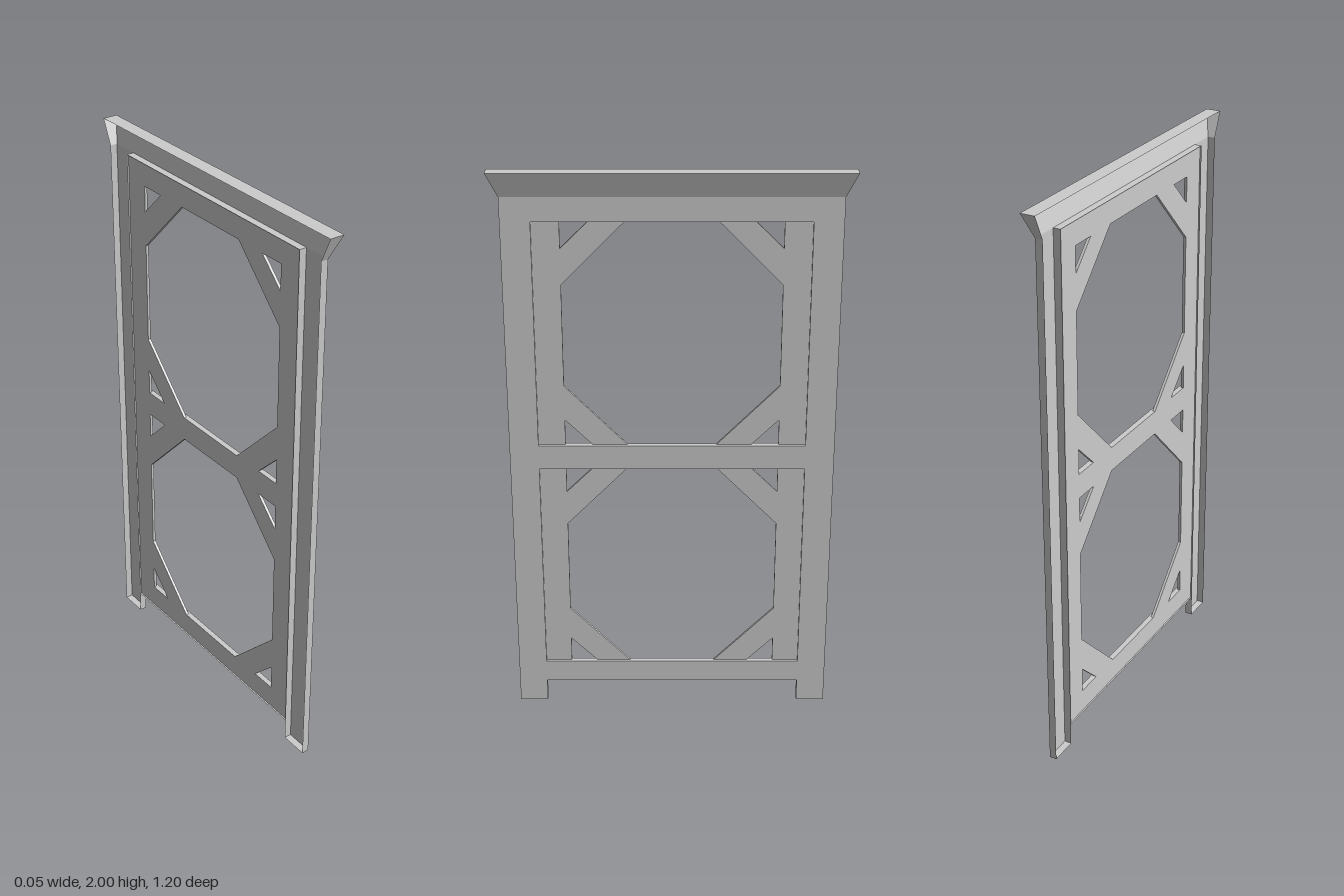
import * as THREE from 'three';

const mat = new THREE.MeshStandardMaterial({ color: 0xcccccc, flatShading: true, side: THREE.DoubleSide });
const BACK = -0.026, FRONT = 0, LIP = 0.026;     // depth planes along x
const OUT = 0.56, IN = 0.46, OPEN = 0.367;       // half widths along z
const BASE = 0.082, HEAD = 1.915;                // panel bottom and top

function add(group, name, geometry) {
  const mesh = new THREE.Mesh(geometry, mat);
  mesh.name = name;
  group.add(mesh);
  return mesh;
}

// Flat faces from quads, four corners each, counter-clockwise seen from outside
function quads(list) {
  const pos = [];
  for (const [a, b, c, d] of list) pos.push(...a, ...b, ...c, ...a, ...c, ...d);
  const g = new THREE.BufferGeometry();
  g.setAttribute('position', new THREE.Float32BufferAttribute(pos, 3));
  g.computeVertexNormals();
  return g;
}

// Thin wall following a closed (z, y) outline from the back plane to the front plane
function wall(outline) {
  return quads(outline.map(([z, y], i) => {
    const [z2, y2] = outline[(i + 1) % outline.length];
    return [[BACK, y, z], [FRONT, y, z], [FRONT, y2, z2], [BACK, y2, z2]];
  }));
}

const rect = (z0, z1, y0, y1) => [[z0, y0], [z1, y0], [z1, y1], [z0, y1]];

// Slab in the z-y plane between two x planes
function slab(outline, holes, x0, x1) {
  const toPoints = (pts) => pts.map(([z, y]) => new THREE.Vector2(-z, y));
  const shape = new THREE.Shape(toPoints(outline));
  shape.holes = holes.map((h) => new THREE.Path(toPoints(h)));
  const g = new THREE.ExtrudeGeometry(shape, { depth: x1 - x0, bevelEnabled: false });
  return g.rotateY(Math.PI / 2).translate(x0, 0, 0);
}

export function createModel() {
  const model = new THREE.Group();
  model.name = 'doorFrame';

  // Posts: open-backed channels on both sides
  for (const s of [1, -1]) {
    const post = new THREE.Group();
    post.name = s > 0 ? 'leftPost' : 'rightPost';
    const z0 = Math.min(s * IN, s * OUT), z1 = Math.max(s * IN, s * OUT);
    add(post, 'postFace', quads([
      [[FRONT, 0, z1], [FRONT, 0, z0], [FRONT, HEAD, z0], [FRONT, HEAD, z1]],
    ]));
    const sides = [s * IN, s * OUT].map((z) =>
      [[BACK, 0, z], [FRONT, 0, z], [FRONT, HEAD, z], [BACK, HEAD, z]]);
    sides.push([[BACK, 0, z0], [FRONT, 0, z0], [FRONT, 0, z1], [BACK, 0, z1]]);
    add(post, 'postSides', quads(sides));
    model.add(post);
  }

  // Flared cornice, open at the back
  const W = 0.598;
  const cornice = [
    [[FRONT, HEAD, OUT], [FRONT, HEAD, -OUT], [LIP, 2, -W], [LIP, 2, W]],
    [[BACK, 2, W], [LIP, 2, W], [LIP, 2, -W], [BACK, 2, -W]],
  ];
  for (const s of [1, -1])
    cornice.push([[BACK, HEAD, s * OUT], [FRONT, HEAD, s * OUT], [LIP, 2, s * W], [BACK, 2, s * W]]);
  add(model, 'cornice', quads(cornice));

  // Rim around the panel
  add(model, 'panelRim', wall(rect(-IN, IN, BASE, HEAD)));

  // Recessed panel: octagonal openings with triangular gaps behind corner braces
  const holes = [];
  for (const [y0, y1] of [[0.165, 0.947], [1.035, 1.832]]) {
    const c = 0.153, rise = 0.218, leg = 0.093;
    holes.push([
      [-c, y0], [c, y0], [OPEN, y0 + rise], [OPEN, y1 - rise],
      [c, y1], [-c, y1], [-OPEN, y1 - rise], [-OPEN, y0 + rise],
    ]);
    for (const s of [1, -1])
      for (const [y, d] of [[y0, 1], [y1, -1]])
        holes.push([[s * OPEN, y + d * 0.001], [s * (OPEN - leg), y + d * 0.001], [s * OPEN, y + d * leg]]);
  }
  add(model, 'bracedPanel', slab(rect(-IN, IN, BASE, HEAD), holes, -0.02, -0.01));

  // Cross rails, flush with the posts
  const rails = { bottomRail: [BASE, 0.165], middleRail: [0.947, 1.035], topRail: [1.832, HEAD] };
  for (const [name, [y0, y1]] of Object.entries(rails))
    add(model, name, slab(rect(-IN, IN, y0, y1), [], -0.012, FRONT));

  return model;
}
